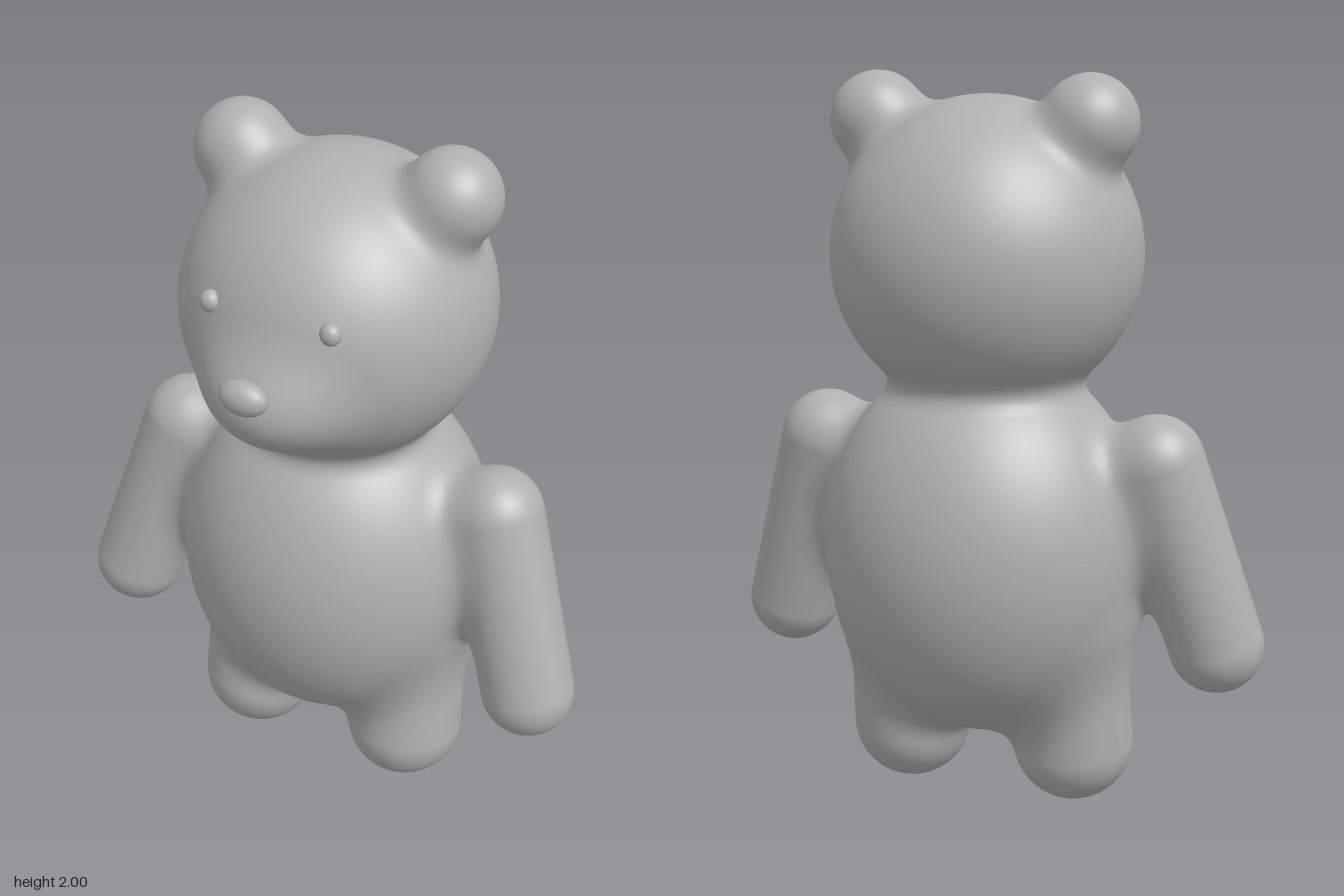
import * as THREE from 'three';

const V = (x, y, z) => new THREE.Vector3(x, y, z);

// Distance to an ellipsoid (centre c, radii r)
function ellipsoidField(c, r) {
  const m = Math.min(r.x, r.y, r.z);
  return (p) => {
    const x = (p.x - c.x) / r.x, y = (p.y - c.y) / r.y, z = (p.z - c.z) / r.z;
    const k0 = Math.hypot(x, y, z);
    const k1 = Math.hypot(x / r.x, y / r.y, z / r.z);
    return k1 < 1e-6 ? -m : (k0 * (k0 - 1)) / k1;
  };
}

// Distance to a capsule from a to b
function capsuleField(a, b, r) {
  const line = new THREE.Line3(a, b), q = V(0, 0, 0);
  return (p) => line.closestPointToPoint(p, true, q).distanceTo(p) - r;
}

function ellipsoid(name, c, r, detail, blend) {
  const geometry = new THREE.SphereGeometry(1, detail, Math.round(detail * 0.7));
  geometry.scale(r.x, r.y, r.z).translate(c.x, c.y, c.z);
  return { name, geometry, blend, field: ellipsoidField(c, r) };
}

function capsule(name, a, b, r, blend) {
  const axis = b.clone().sub(a), mid = a.clone().add(b).multiplyScalar(0.5);
  const geometry = new THREE.CapsuleGeometry(r, axis.length(), 18, 56, 36);
  geometry.applyQuaternion(new THREE.Quaternion().setFromUnitVectors(V(0, 1, 0), axis.normalize()));
  geometry.translate(mid.x, mid.y, mid.z);
  return { name, geometry, blend, field: capsuleField(a, b, r) };
}

// Soft parts, each melting into its neighbours over its blend width
function softParts() {
  const parts = [
    ellipsoid('head', V(0, 1.52, -0.05), V(0.42, 0.42, 0.42), 112, 0),
    ellipsoid('body', V(0, 0.73, -0.06), V(0.445, 0.53, 0.427), 112, 0.07),
    ellipsoid('muzzle', V(0, 1.425, 0.245), V(0.195, 0.15, 0.2), 72, 0.1),
  ];
  for (const s of [1, -1]) {
    const side = s > 0 ? 'left' : 'right';
    parts.push(
      ellipsoid(side + 'Ear', V(s * 0.297, 1.87, -0.085), V(0.129, 0.129, 0.129), 56, 0.07),
      capsule(side + 'Arm', V(s * 0.635, 0.477, 0.025), V(s * 0.48, 0.985, -0.05), 0.13, 0.1),
      capsule(side + 'Leg', V(s * 0.243, 0.167, -0.016), V(s * 0.23, 0.5, -0.06), 0.167, 0.1),
    );
  }
  return parts;
}

// Smooth union of all soft parts
function makeUnion(parts) {
  return (p) => {
    let d = parts[0].field(p);
    for (let i = 1; i < parts.length; i++) {
      const e = parts[i].field(p), k = parts[i].blend;
      const h = Math.max(k - Math.abs(d - e), 0) / k;
      d = Math.min(d, e) - (h * h * k) / 4;
    }
    return d;
  };
}

// Pull a part's vertices onto the blended skin and take smooth normals from it
function blendOnto(geometry, union) {
  const pos = geometry.attributes.position, nor = geometry.attributes.normal;
  const p = V(0, 0, 0), q = V(0, 0, 0), g = V(0, 0, 0), eps = 0.001;
  const gradient = () => {
    for (const axis of ['x', 'y', 'z']) {
      q.copy(p)[axis] += eps;
      const high = union(q);
      q[axis] -= 2 * eps;
      g[axis] = (high - union(q)) / (2 * eps);
    }
    return g;
  };
  for (let i = 0; i < pos.count; i++) {
    p.fromBufferAttribute(pos, i);
    if (union(p) < -0.07) continue; // buried inside another part
    for (let n = 0; n < 6; n++) {
      const d = union(p);
      if (Math.abs(d) < 1e-4) break;
      gradient();
      const step = THREE.MathUtils.clamp(d / Math.max(g.length(), 0.3), -0.03, 0.03);
      p.addScaledVector(g.normalize(), -step);
    }
    gradient().normalize();
    pos.setXYZ(i, p.x, p.y, p.z);
    nor.setXYZ(i, g.x, g.y, g.z);
  }
  return geometry;
}

export function createModel() {
  const group = new THREE.Group();
  group.name = 'bear';
  const grey = new THREE.MeshStandardMaterial({ color: 0xb0b0b0 });
  grey.name = 'soft grey';

  const add = (name, geometry) => {
    const mesh = new THREE.Mesh(geometry, grey);
    mesh.name = name;
    group.add(mesh);
  };

  const parts = softParts();
  const union = makeUnion(parts);
  for (const part of parts) add(part.name, blendOnto(part.geometry, union));

  // Nose and eyes sit crisply on the face
  add('nose', ellipsoid('', V(0, 1.5, 0.45), V(0.067, 0.047, 0.04), 32).geometry);
  for (const s of [1, -1]) {
    add(s > 0 ? 'leftEye' : 'rightEye',
      ellipsoid('', V(s * 0.168, 1.655, 0.312), V(0.028, 0.03, 0.026), 24).geometry);
  }
  return group;
}
